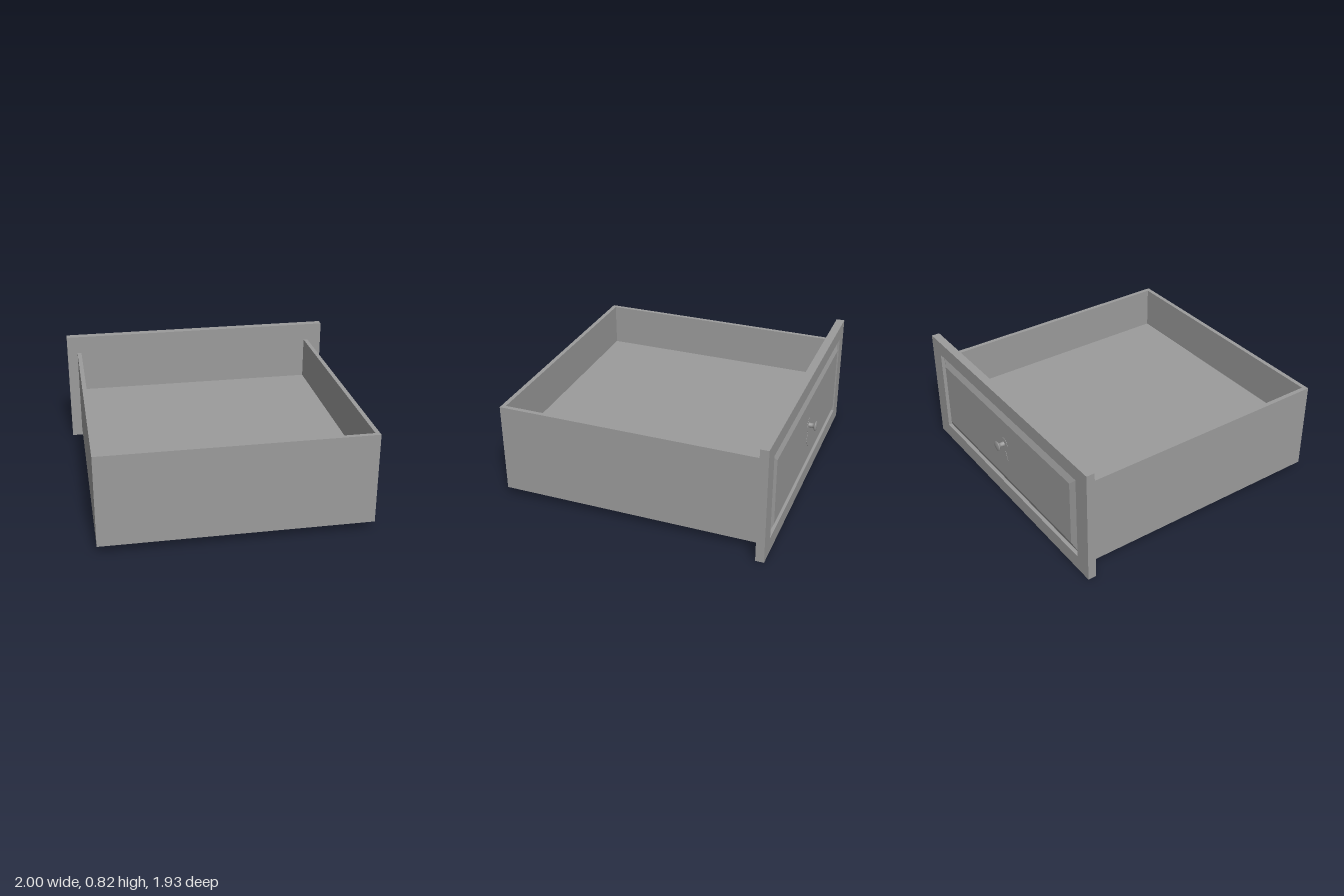
import * as THREE from 'three';

const material = new THREE.MeshStandardMaterial({ color: 0x9b9b9b });

function add(parent, name, geometry, x = 0, y = 0, z = 0) {
  const mesh = new THREE.Mesh(geometry, material);
  mesh.name = name;
  mesh.position.set(x, y, z);
  parent.add(mesh);
  return mesh;
}

function rectangle(w, h, Type = THREE.Shape) {
  return new Type([[-w, -h], [w, -h], [w, h], [-w, h]].map(([x, y]) => new THREE.Vector2(x / 2, y / 2)));
}

// Box whose -z face is shrunk by an inset, giving four bevelled sides
function bevelledBlock(w, h, depth, inset) {
  const geometry = new THREE.BoxGeometry(w, h, depth).toNonIndexed();
  const p = geometry.attributes.position;
  for (let i = 0; i < p.count; i++) {
    if (p.getZ(i) < 0) {
      p.setX(i, p.getX(i) - Math.sign(p.getX(i)) * inset);
      p.setY(i, p.getY(i) - Math.sign(p.getY(i)) * inset);
    }
  }
  geometry.computeVertexNormals();
  return geometry;
}

export function createModel() {
  const model = new THREE.Group();
  model.name = 'drawer';

  // Tray: U-shaped wall run, open towards the face board, with a raised floor
  const left = -0.925, right = 0.895, faceZ = -0.847, endZ = 0.965, t = 0.03;
  const outline = [
    [left, faceZ], [left, endZ], [right, endZ], [right, faceZ],
    [right - t, faceZ], [right - t, endZ - t], [left + t, endZ - t], [left + t, faceZ],
  ];
  const walls = new THREE.ExtrudeGeometry(
    new THREE.Shape(outline.map(([x, z]) => new THREE.Vector2(x, -z))),
    { depth: 0.63, bevelEnabled: false });
  walls.rotateX(-Math.PI / 2);
  add(model, 'trayWalls', walls, 0, 0.06, 0);
  add(model, 'trayFloor', new THREE.BoxGeometry(right - left - 2 * t, 0.03, endZ - t - faceZ),
    (left + right) / 2, 0.373, (faceZ + endZ - t) / 2);

  // Face board: backing, surrounding frame and raised bevelled centre
  const face = new THREE.Group();
  face.name = 'faceBoard';
  face.position.y = 0.409;
  model.add(face);
  add(face, 'backing', new THREE.BoxGeometry(2, 0.818, 0.033), 0, 0, -0.8635);
  const frame = rectangle(2, 0.818);
  frame.holes.push(rectangle(1.76, 0.61, THREE.Path));
  add(face, 'frame', new THREE.ExtrudeGeometry(frame, { depth: 0.025, bevelEnabled: false }), 0, 0, -0.905);
  add(face, 'raisedPanel', bevelledBlock(1.75, 0.6, 0.028, 0.063), 0, 0, -0.894);

  // Handle: thin plate with a round top and a diamond drop, and a turned knob
  const handle = new THREE.Group();
  handle.name = 'handle';
  handle.position.set(0, 0.455, -0.908);
  model.add(handle);
  const plate = new THREE.Shape();
  plate.absarc(0, 0, 0.05, -1.2, Math.PI + 1.2);
  plate.lineTo(-0.045, -0.115);
  plate.lineTo(0, -0.17);
  plate.lineTo(0.045, -0.115);
  plate.closePath();
  add(handle, 'backPlate', new THREE.ExtrudeGeometry(plate, { depth: 0.004, bevelEnabled: false }), 0, 0, -0.002);
  const profile = [
    [0.018, 0], [0.016, 0.006], [0.015, 0.025], [0.018, 0.036], [0.033, 0.046],
    [0.036, 0.05], [0.032, 0.053], [0.018, 0.056], [0, 0.057],
  ].map(([r, y]) => new THREE.Vector2(r, y));
  const knob = new THREE.LatheGeometry(profile, 24);
  knob.rotateX(-Math.PI / 2);
  add(handle, 'knob', knob, 0.002);

  return model;
}
